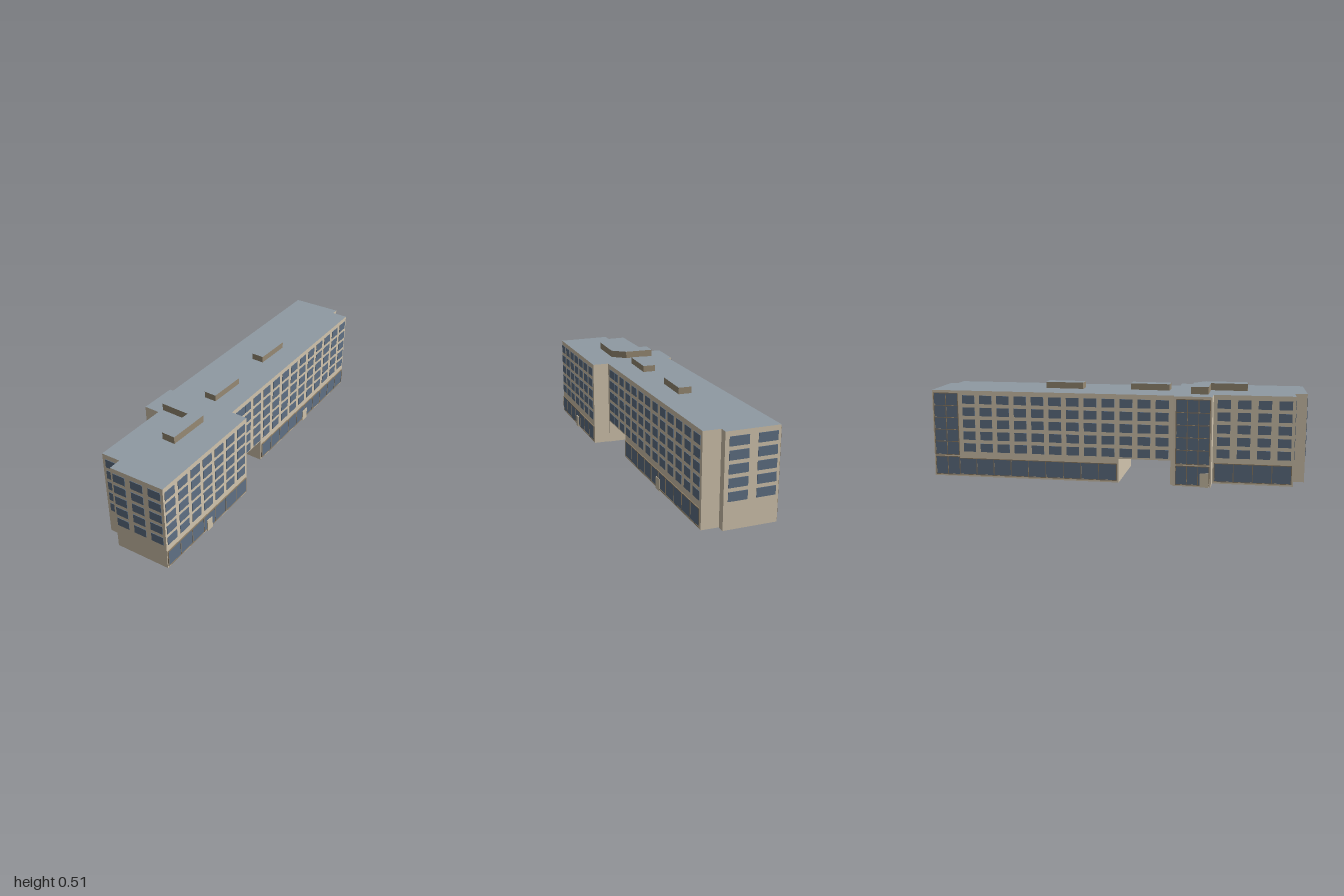
import * as THREE from 'three';

const mat = (name, color, extra = {}) => new THREE.MeshStandardMaterial({ name, color, ...extra });

export function createModel() {
  const model = new THREE.Group();
  model.name = 'officeBlock';
  const wallMat = mat('beigeWall', 0xd2c5ae, { side: THREE.DoubleSide });
  const roofMat = mat('greyRoof', 0x8f9aa3, { side: THREE.DoubleSide });
  const glass = mat('blueGlass', 0x5f7084);
  const frame = mat('brownFrame', 0x8c7d66);
  const doorMat = mat('paleDoor', 0xcfc2aa);
  const plantMat = mat('brownPlantRoom', 0x978a74);

  const H = 0.475, PASS = 0.13, Z0 = 0.03, Z1 = 0.305;
  const rows = [0.14, 0.206, 0.272, 0.338, 0.404], winH = 0.046;

  // Footprint corners as [x, z], running along the front, then the left, back and right sides
  const foot = [
    [-0.145, 0.94], [-0.042, 0.935], [-0.04, 1.0], [0.257, 0.985], [0.24, 0.31], [0.152, 0.31],
    [0.11, -0.96], [0.02, -0.96], [0.02, -1.0], [-0.257, -0.995], [-0.222, 0.32],
    [-0.242, 0.32], [-0.24, 0.52], [-0.155, 0.52],
  ];
  const alongZ = (p, q, z) => [p[0] + (q[0] - p[0]) * (z - p[1]) / (q[1] - p[1]), z];

  // Walls: one quad per run; the two long sides are raised over the passage
  const pos = [];
  const quad = (p, q, y0, y1) => {
    const a = [p[0], y0, p[1]], b = [q[0], y0, q[1]], c = [q[0], y1, q[1]], d = [p[0], y1, p[1]];
    pos.push(...a, ...b, ...c, ...a, ...c, ...d);
  };
  foot.forEach((p, i) => {
    const q = foot[(i + 1) % foot.length];
    if (Math.abs(p[1] - q[1]) < 1) return quad(p, q, 0, H);
    const [zs, ze] = p[1] > q[1] ? [Z1, Z0] : [Z0, Z1];
    const a = alongZ(p, q, zs), b = alongZ(p, q, ze);
    quad(p, a, 0, H);
    quad(a, b, PASS, H);
    quad(b, q, 0, H);
  });
  // Passage end walls
  const E = z => alongZ(foot[5], foot[6], z), W = z => alongZ(foot[9], foot[10], z);
  quad(W(Z0), E(Z0), 0, PASS);
  quad(E(Z1), W(Z1), 0, PASS);
  const wallGeo = new THREE.BufferGeometry();
  wallGeo.setAttribute('position', new THREE.Float32BufferAttribute(pos, 3));
  wallGeo.computeVertexNormals();
  const add = (parent, geo, material, name) => {
    const m = new THREE.Mesh(geo, material);
    m.name = name;
    parent.add(m);
    return m;
  };
  add(model, wallGeo, wallMat, 'walls');

  const outline = pts => new THREE.Shape(pts.map(([x, z]) => new THREE.Vector2(x, -z)));
  add(model, new THREE.ShapeGeometry(outline(foot)).rotateX(-Math.PI / 2).translate(0, H, 0), roofMat, 'roof');
  const soffit = [W(Z0), E(Z0), E(Z1), W(Z1)];
  add(model, new THREE.ShapeGeometry(outline(soffit)).rotateX(Math.PI / 2).scale(1, 1, -1).translate(0, PASS, 0),
    wallMat, 'passageCeiling').geometry.computeVertexNormals();

  // Facade helper: plates are placed by world coordinate (axis 0 = x, 1 = z) along one wall
  function facade(name, i, axis) {
    const p = foot[i], q = foot[i + 1];
    const dx = q[0] - p[0], dz = q[1] - p[1], len = Math.hypot(dx, dz);
    const g = new THREE.Group();
    g.name = name;
    g.position.set(p[0], 0, p[1]);
    g.rotation.y = Math.atan2(-dz, dx);
    model.add(g);
    const u = v => (v - p[axis]) / (q[axis] - p[axis]) * len;
    const plate = (v0, v1, y0, y1, material, part, t = 0.003) => {
      const a = u(v0), b = u(v1);
      const geo = new THREE.BoxGeometry(Math.abs(b - a), y1 - y0, t);
      add(g, geo.translate((a + b) / 2, (y0 + y1) / 2, 0.001 + t / 2), material, part);
    };
    const windows = (centres, w) => centres.forEach(c => rows.forEach(y =>
      plate(c - w / 2, c + w / 2, y, y + winH, glass, 'window')));
    // Glazed band with upright bars at even spacing
    const glazing = (v0, v1, y0, y1, n) => {
      plate(v0, v1, y0, y1, glass, 'glazing');
      for (let k = 0; k <= n; k++) {
        const c = v0 + (v1 - v0) * k / n;
        plate(c - 0.002, c + 0.002, y0, y1, frame, 'mullion', 0.005);
      }
      for (const y of [y0, y1]) plate(v0, v1, y - 0.002, y + 0.002, frame, 'rail', 0.005);
    };
    // Tall glazed bay with a rail at each floor
    const bay = (v0, v1, n) => {
      glazing(v0, v1, 0.01, 0.11, n);
      glazing(v0, v1, 0.12, 0.46, n);
      rows.slice(1).forEach(y => plate(v0, v1, y - 0.014, y - 0.01, frame, 'rail', 0.005));
    };
    const door = (c, w, h) => plate(c - w / 2, c + w / 2, 0, h, doorMat, 'door', 0.007);
    return { windows, glazing, bay, door };
  }
  const series = (first, last, n) => Array.from({ length: n }, (_, k) => first + (last - first) * k / (n - 1));

  // Front and back ends
  facade('frontRecess', 0, 0).windows([-0.091], 0.072);
  facade('frontEnd', 2, 0).windows([0.008, 0.109, 0.209], 0.069);
  facade('backEnd', 8, 0).windows([-0.05, -0.193], 0.098);

  // Left side: front wing and long wing
  const wing = facade('leftFrontWing', 3, 1);
  wing.windows(series(0.94, 0.363, 7), 0.07);
  wing.glazing(0.98, 0.318, 0.012, 0.102, 7);
  wing.door(0.65, 0.042, 0.065);
  const long = facade('leftLongWing', 5, 1);
  long.windows(series(0.073, -0.91, 11), 0.068);
  long.windows([0.237], 0.078);
  long.windows([0.165], 0.052);
  long.glazing(0.02, -0.95, 0.012, 0.102, 10);
  long.door(-0.465, 0.048, 0.065);

  // Right side: long wing, projecting bay and front wing
  const back = facade('rightLongWing', 9, 1);
  back.bay(-0.985, -0.85, 2);
  back.windows(series(-0.79, 0.26, 12), 0.068);
  back.glazing(-0.85, 0.02, 0.012, 0.102, 9);
  const stair = facade('rightBay', 11, 1);
  stair.bay(0.335, 0.51, 3);
  stair.door(0.485, 0.045, 0.075);
  const rear = facade('rightFrontWing', 13 - foot.length + foot.push(foot[0]) - 1, 1);
  rear.windows(series(0.575, 0.89, 4), 0.068);
  rear.glazing(0.53, 0.93, 0.012, 0.11, 4);

  // Rooftop plant rooms: brown sides with grey tops
  const rect = (x0, x1, z0, z1) => [[x0, z1], [x1, z1], [x1, z0], [x0, z0]];
  const rooms = [
    [rect(-0.07, 0, -0.405, -0.197), 0.034],
    [rect(-0.046, 0.022, 0.063, 0.275), 0.034],
    [[[-0.148, 0.4], [0.012, 0.4], [0.085, 0.458], [0.085, 0.688], [0.012, 0.688], [0.012, 0.492], [-0.148, 0.492]], 0.038],
  ];
  for (const [pts, h] of rooms) {
    const geo = new THREE.ExtrudeGeometry(outline(pts), { depth: h, bevelEnabled: false });
    add(model, geo.rotateX(-Math.PI / 2).translate(0, H, 0), [roofMat, plantMat], 'plantRoom');
  }
  return model;
}
